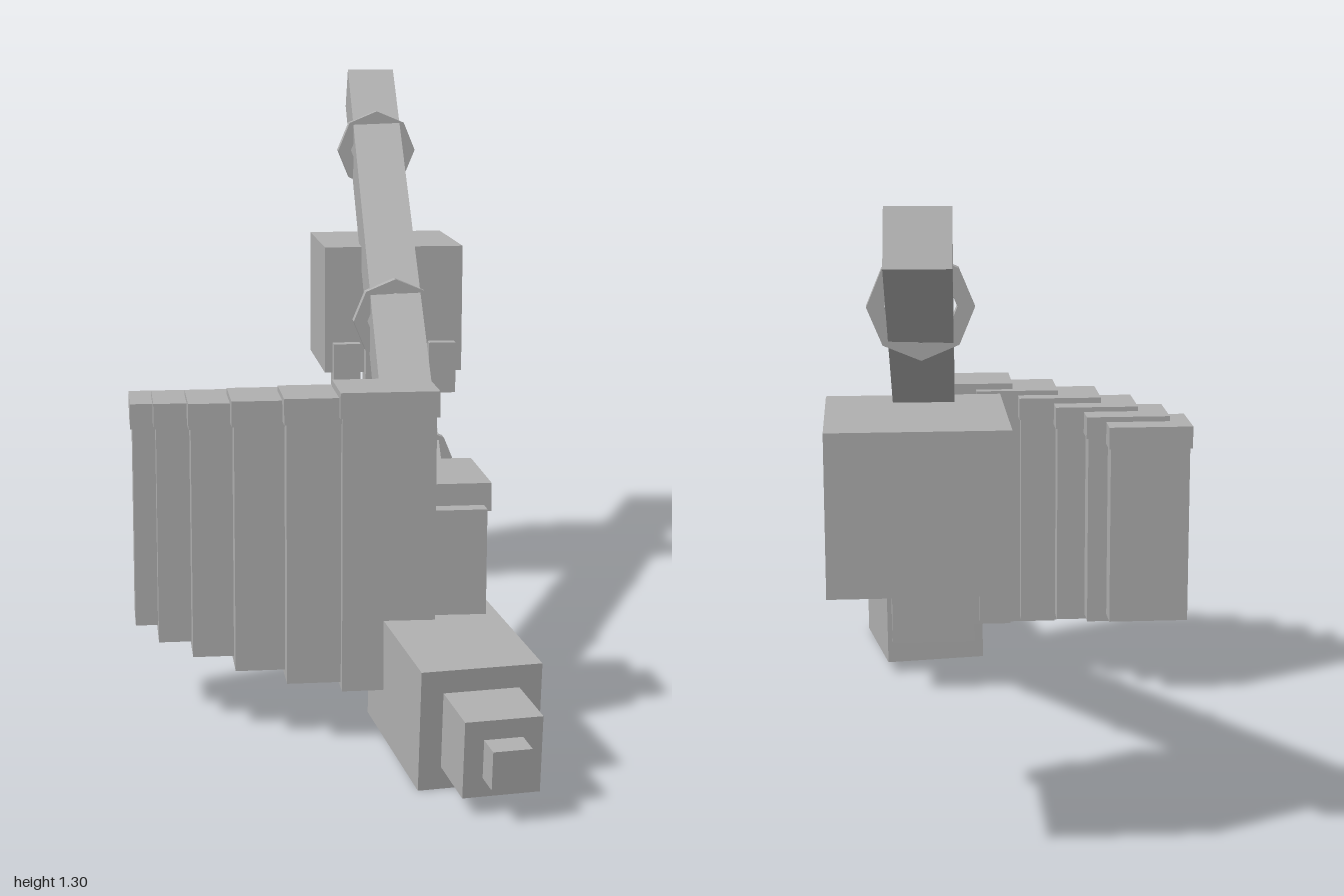
import * as THREE from 'three';

export function createModel() {
  const model = new THREE.Group();
  const grey = new THREE.MeshStandardMaterial({ color: 0xb0b0b0 });

  const box = (name, w, h, d, x, y, z, parent = model) => {
    const mesh = new THREE.Mesh(new THREE.BoxGeometry(w, h, d), grey);
    mesh.name = name;
    mesh.position.set(x, y, z);
    parent.add(mesh);
    return mesh;
  };

  // Square boom rising from the base block to the back
  const start = new THREE.Vector3(0.187, 0.315, 0.33);
  const end = new THREE.Vector3(0.245, 1.25, -0.957);
  const mid = start.clone().add(end).multiplyScalar(0.5);
  box('boom', 0.118, 0.122, start.distanceTo(end), mid.x, mid.y, mid.z).lookAt(end);

  // Upright octagonal collars around the boom
  const octagon = (path, r) => {
    const points = [];
    for (let i = 0; i < 8; i++) {
      const a = (i * Math.PI) / 4;
      points.push(new THREE.Vector2(r * Math.cos(a), r * Math.sin(a)));
    }
    return path.setFromPoints(points);
  };
  const collarShape = octagon(new THREE.Shape(), 0.098);
  collarShape.holes.push(octagon(new THREE.Path(), 0.066));
  const collarGeometry = new THREE.ExtrudeGeometry(collarShape, { depth: 0.028, bevelEnabled: false });
  collarGeometry.translate(0, 0, -0.014);
  for (const [x, y, z] of [[0.197, 0.47, 0.12], [0.213, 0.74, -0.253], [0.236, 1.102, -0.755]]) {
    const collar = new THREE.Mesh(collarGeometry, grey);
    collar.name = 'collar';
    collar.position.set(x, y, z);
    model.add(collar);
  }

  // Base block with its overhanging cap
  box('baseBlock', 0.195, 0.347, 0.28, 0.1875, 0.3065, 0.402);
  box('baseCap', 0.228, 0.058, 0.23, 0.186, 0.496, 0.39);

  // Fan of capped panels: left edge, bottom, top, centre z
  const panels = [
    [-0.014, 0.120, 0.728, 0.502],
    [-0.122, 0.132, 0.714, 0.479],
    [-0.222, 0.148, 0.703, 0.437],
    [-0.305, 0.164, 0.690, 0.387],
    [-0.372, 0.177, 0.679, 0.323],
    [-0.418, 0.195, 0.667, 0.260],
  ];
  const capHeight = 0.052;
  for (const [left, bottom, top, z] of panels) {
    const h = top - capHeight - bottom;
    box('panel', 0.186, h, 0.13, left + 0.098, bottom + h / 2, z);
    box('panelCap', 0.196, capHeight, 0.146, left + 0.098, top - capHeight / 2, z);
  }

  // Stepped nose, turned and tipped slightly down
  const nose = new THREE.Group();
  nose.name = 'nose';
  nose.position.set(0.225, 0.124, 0.808);
  nose.rotation.set(0.075, 0.128, 0, 'YXZ');
  model.add(nose);
  box('noseBody', 0.238, 0.24, 0.37, 0, 0, -0.185, nose);
  box('noseStep', 0.15, 0.15, 0.16, 0, 0, 0.055, nose);
  box('noseTip', 0.075, 0.075, 0.08, 0, 0, 0.148, nose);

  // Rear block with a row of small teeth
  box('rearBlock', 0.34, 0.31, 0.34, 0.245, 0.73, -0.655);
  for (let i = 0; i < 4; i++) {
    box('tooth', 0.066, 0.125, 0.065, 0.127 + i * 0.0785, 0.5875, -0.4875);
  }

  return model;
}
